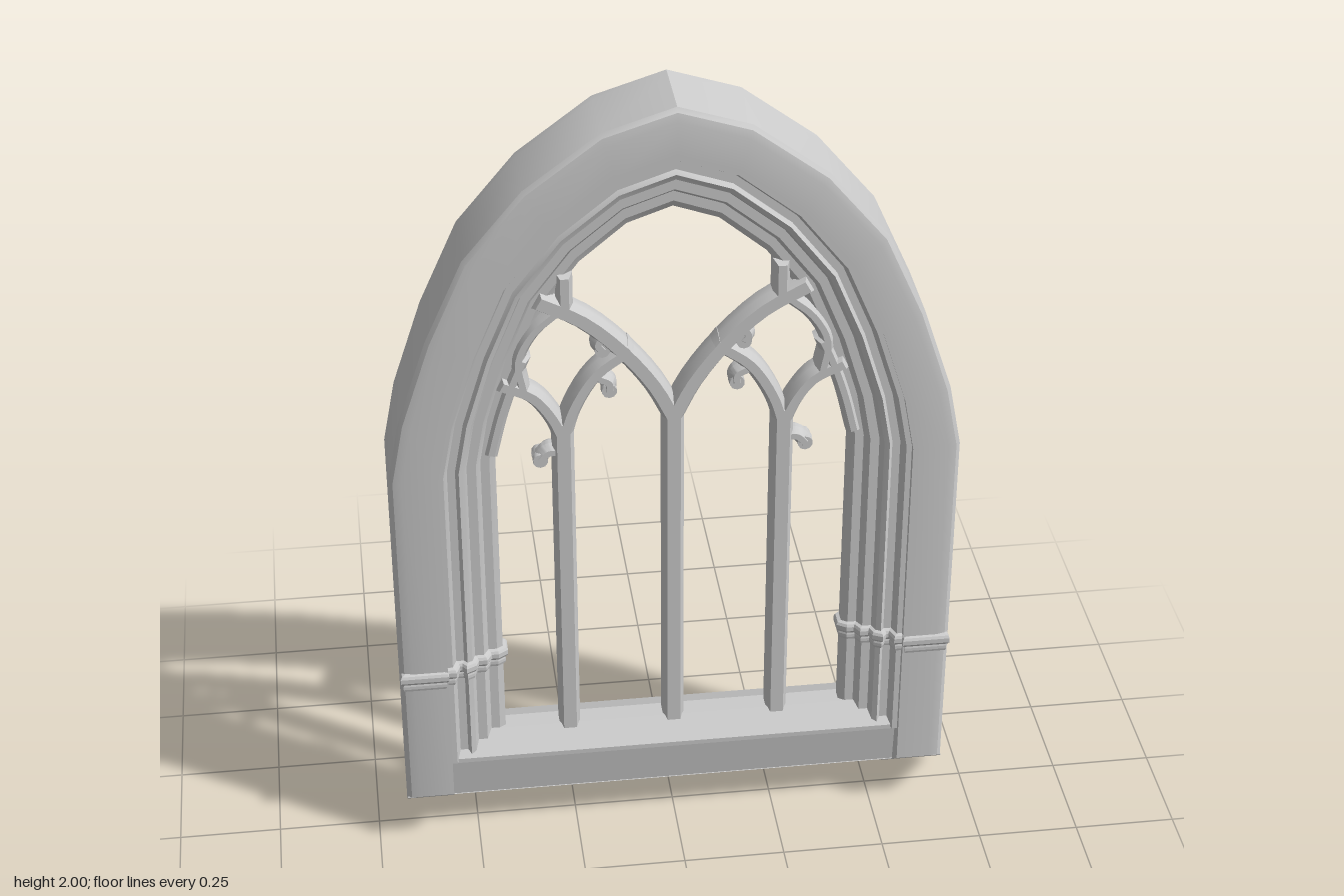
import * as THREE from 'three';
import { toCreasedNormals } from 'three/addons/utils/BufferGeometryUtils.js';

const material = new THREE.MeshStandardMaterial({ color: 0xcccccc, side: THREE.DoubleSide });
const SPRING = 1.08;

// Right half of the pointed arch: fraction of half width, fraction of rise
const ARCH = [[1, 0], [0.955, 0.17], [0.85, 0.4], [0.715, 0.62], [0.51, 0.8], [0.25, 0.942], [0, 1]];

// Height of the pointed top for a given half width
const apexOf = (w) => (w > 0.56 ? 1.885 + (w - 0.56) : 1.72 + (w - 0.42) * 1.18);

function archPath(w, base) {
  const rise = apexOf(w) - SPRING;
  const half = [[w, base], ...ARCH.map(([a, b]) => [a * w, SPRING + b * rise])];
  const other = half.slice(0, -1).reverse().map(([x, y]) => [-x, y]);
  return [...half, ...other];
}

// Sweep a profile of [half width, z, base y] around the arch
function archSweep(profile, closed) {
  const pos = [], idx = [];
  const rows = profile.map(([w, z, base]) => archPath(w, base).map(([x, y]) => [x, y, z]));
  const n = rows[0].length;
  rows.forEach((row) => row.forEach((p) => pos.push(...p)));
  const count = closed ? rows.length : rows.length - 1;
  for (let i = 0; i < count; i++) {
    const j = (i + 1) % rows.length;
    for (let k = 0; k < n - 1; k++) {
      const a = i * n + k, b = j * n + k;
      idx.push(a, a + 1, b, a + 1, b + 1, b);
    }
  }
  const g = new THREE.BufferGeometry();
  g.setAttribute('position', new THREE.Float32BufferAttribute(pos, 3));
  g.setIndex(idx);
  return toCreasedNormals(g, 0.5);
}

const shapeOf = (pts) => new THREE.Shape(pts.map(([x, y]) => new THREE.Vector2(x, y)));

// Extrude a [z, y] section along x
function alongX(section, x0, x1) {
  const g = new THREE.ExtrudeGeometry(shapeOf(section), { depth: x1 - x0, bevelEnabled: false });
  return g.rotateY(-Math.PI / 2).translate(x1, 0, 0);
}

// Extrude an [x, z] plan upwards with a moulded edge
function upright(plan, y0, y1, bulge) {
  const t = 0.009;
  const g = new THREE.ExtrudeGeometry(shapeOf(plan.map(([x, z]) => [x, -z])), {
    depth: y1 - y0 - 2 * t, bevelThickness: t, bevelSize: bulge, bevelSegments: 2,
  });
  return g.rotateX(-Math.PI / 2).translate(0, y0 + t, 0);
}

// Chamfered stone bar following points in the xy plane
function bar(points, width, depth = 0.07) {
  const c = 0.01;
  let pts = points.map(([x, y]) => new THREE.Vector3(x, y, 0));
  const curve = new THREE.CatmullRomCurve3(pts);
  const steps = points.length > 2 ? 12 : 1;
  const left = [], right = [];
  for (let i = 0; i <= steps; i++) {
    const p = curve.getPoint(i / steps), t = curve.getTangent(i / steps);
    const h = width / 2 - c;
    left.push([p.x - t.y * h, p.y + t.x * h]);
    right.unshift([p.x + t.y * h, p.y - t.x * h]);
  }
  const g = new THREE.ExtrudeGeometry(shapeOf([...left, ...right]), {
    depth: depth - 4 * c, bevelThickness: 2 * c, bevelSize: c, bevelSegments: 1,
  });
  return toCreasedNormals(g.translate(0, 0, -depth / 2 + 2 * c), 0.5);
}

export function createModel() {
  const group = new THREE.Group();
  const add = (name, geometry, parent = group) => {
    const mesh = new THREE.Mesh(geometry, material);
    mesh.name = name;
    parent.add(mesh);
    return mesh;
  };

  // Outer surround, a shell left open at the back
  add('outerSurround', archSweep([
    [0.56, 0.04, 0.105], [0.56, 0.1, 0.15], [0.645, 0.1, 0.15], [0.665, 0.095, 0.145],
    [0.675, 0.085, 0.138], [0.675, -0.08, 0], [0.675, -0.103, 0.16],
  ], false));

  // Stepped moulding ring around the opening, alike on both faces
  const front = [
    [0.56, 0.085], [0.547, 0.085], [0.537, 0.06], [0.518, 0.06], [0.51, 0.07],
    [0.498, 0.064], [0.49, 0.043], [0.468, 0.043], [0.456, 0.022], [0.435, 0.022], [0.42, 0.012],
  ];
  const back = front.map(([w, z]) => [w, -z * 1.27]).reverse();
  const plan = [...front, ...back];
  add('mouldingRing', archSweep(plan.map(([w, z]) => [w, z, 0.235]), true));

  // Sill with sloping ledges and a front apron
  add('sill', alongX([
    [0.045, 0.105], [0.058, 0.222], [0.078, 0.23], [0.078, 0.242], [0.025, 0.288],
    [-0.025, 0.288], [-0.107, 0.245], [-0.107, 0.23], [0.04, 0.222], [0.03, 0.1],
  ], -0.56, 0.56));

  // Sloping underside
  add('underside', alongX([[0.047, 0.107], [-0.08, 0.008], [-0.084, 0.014], [0.04, 0.11]], -0.56, 0.56));

  // Parts that come in left and right pairs
  for (const s of [1, -1]) {
    const side = s > 0 ? 'left' : 'right';
    const span = (a, b) => (s > 0 ? [a, b] : [-b, -a]);
    const mirror = (pts) => pts.map(([x, y]) => [s * x, y]);

    add(side + 'JambUnderside',
      alongX([[0.1, 0.15], [0.085, 0.136], [-0.08, 0], [-0.084, 0.008], [0.08, 0.14]], ...span(0.56, 0.675)));
    add(side + 'JambFoot',
      alongX([[-0.1, 0.235], [-0.1, 0.16], [-0.082, 0.012], [0, 0.072], [0, 0.235]], ...span(0.43, 0.56)));

    // Capital bands on the jambs
    const face = [[0.57, 0.06], [0.57, 0.098], [0.663, 0.098], [0.663, 0.06]];
    for (const [y0, y1, bulge] of [[0.48, 0.506, 0.006], [0.502, 0.532, 0.012]]) {
      add(side + 'MouldingBand', upright(mirror(plan), y0, y1, bulge));
      add(side + 'SurroundBand', upright(mirror(face), y0, y1, bulge));
    }

    // Tracery
    const tracery = new THREE.Group();
    tracery.name = side + 'Tracery';
    group.add(tracery);
    add('sideMullion', bar(mirror([[0.26, 0.27], [0.26, 1.17]]), 0.052), tracery);
    add('mainRib', bar(mirror([[0, 1.17], [0.045, 1.26], [0.12, 1.36], [0.21, 1.445], [0.31, 1.5]]), 0.05), tracery);
    add('innerRib', bar(mirror([[0.26, 1.13], [0.235, 1.21], [0.18, 1.3], [0.1, 1.36]]), 0.042), tracery);
    add('outerRib', bar(mirror([[0.26, 1.13], [0.285, 1.19], [0.33, 1.25], [0.4, 1.285]]), 0.042), tracery);
    add('lancetEdge', bar(mirror([[0.43, 1.1], [0.405, 1.2], [0.375, 1.29], [0.35, 1.35]]), 0.035), tracery);
    add('panelEdge', bar(mirror([[0.35, 1.27], [0.36, 1.35], [0.325, 1.42], [0.27, 1.47]]), 0.035), tracery);
    add('upperStub', bar(mirror([[0.25, 1.46], [0.25, 1.56]]), 0.04), tracery);

    // Hooked cusps on the ribs and mullion
    const cusps = [
      [[0.16, 1.4], [0.175, 1.375], [0.165, 1.36]],
      [[0.175, 1.285], [0.15, 1.27], [0.15, 1.25]],
      [[0.265, 1.09], [0.295, 1.09], [0.315, 1.07]],
    ];
    for (const pts of cusps) {
      add('cuspStem', bar(mirror(pts), 0.035, 0.055), tracery);
      const [x, y] = pts[2];
      const knob = new THREE.CylinderGeometry(0.018, 0.018, 0.05, 10).rotateX(Math.PI / 2);
      add('cuspKnob', toCreasedNormals(knob.translate(s * x, y, 0), 0.7), tracery);
    }
  }

  add('centreMullion', bar([[0, 0.27], [0, 1.2]], 0.052));
  return group;
}
